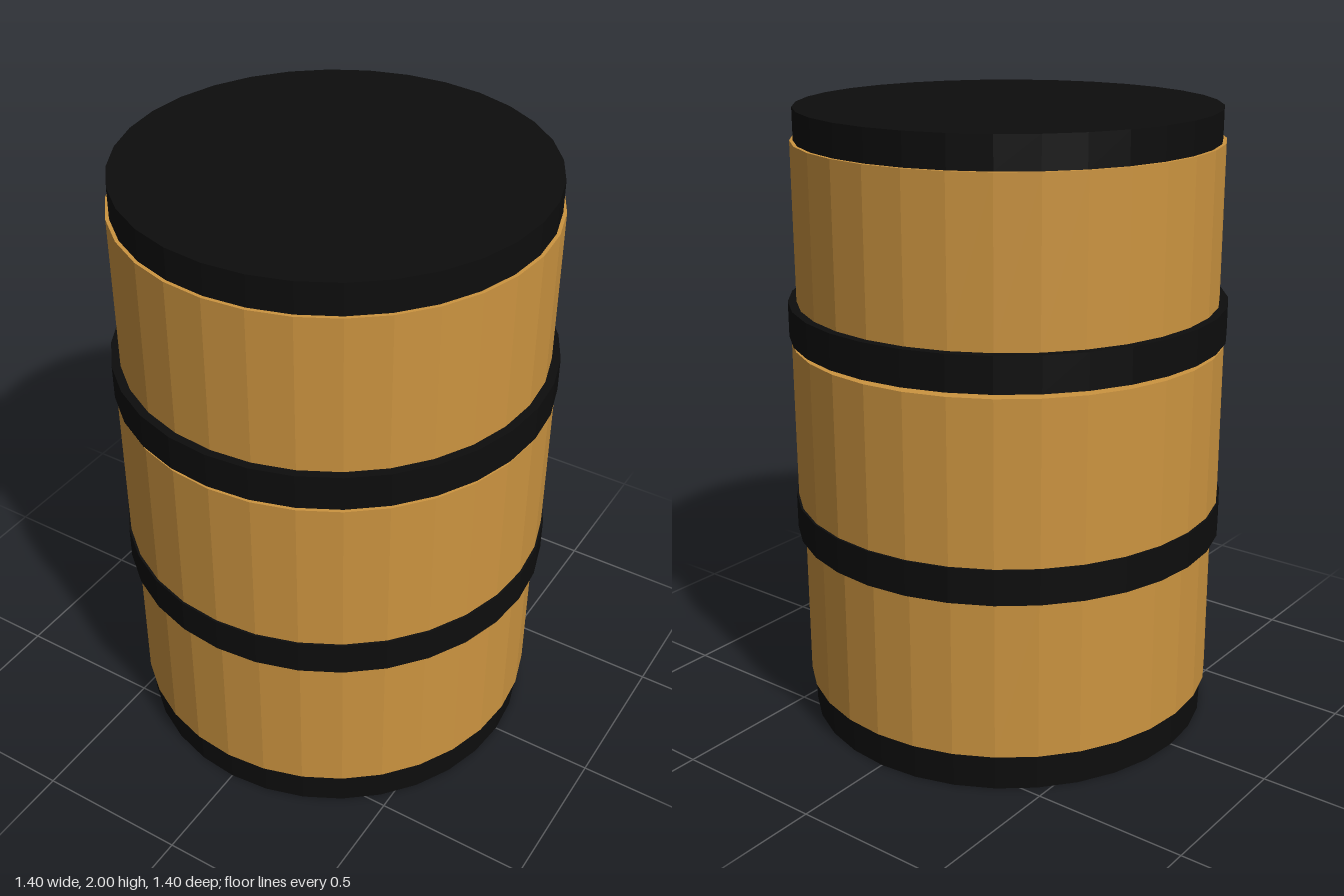
import * as THREE from 'three';

const SIDES = 32;

export function createModel() {
  const barrel = new THREE.Group();
  barrel.name = 'barrel';

  const wood = new THREE.MeshStandardMaterial({ color: 0xcc9440, flatShading: true });
  const iron = new THREE.MeshStandardMaterial({ color: 0x0d0d0d, flatShading: true });

  // One straight drum section between two heights
  function section(name, radius, bottom, top, material) {
    const height = top - bottom;
    const mesh = new THREE.Mesh(new THREE.CylinderGeometry(radius, radius, height, SIDES), material);
    mesh.name = name;
    mesh.position.y = bottom + height / 2;
    barrel.add(mesh);
  }

  // Dark base, hoops and lid
  section('base', 0.66, 0, 0.108, iron);
  section('lowerHoop', 0.698, 0.637, 0.75, iron);
  section('upperHoop', 0.698, 1.285, 1.398, iron);
  section('lid', 0.66, 1.9, 2, iron);

  // Wooden body, with narrow gaps below the base joint and the hoops
  section('lowerBody', 0.674, 0.117, 0.631, wood);
  section('middleBody', 0.691, 0.75, 1.27, wood);
  section('upperBody', 0.671, 1.398, 1.9, wood);

  return barrel;
}
